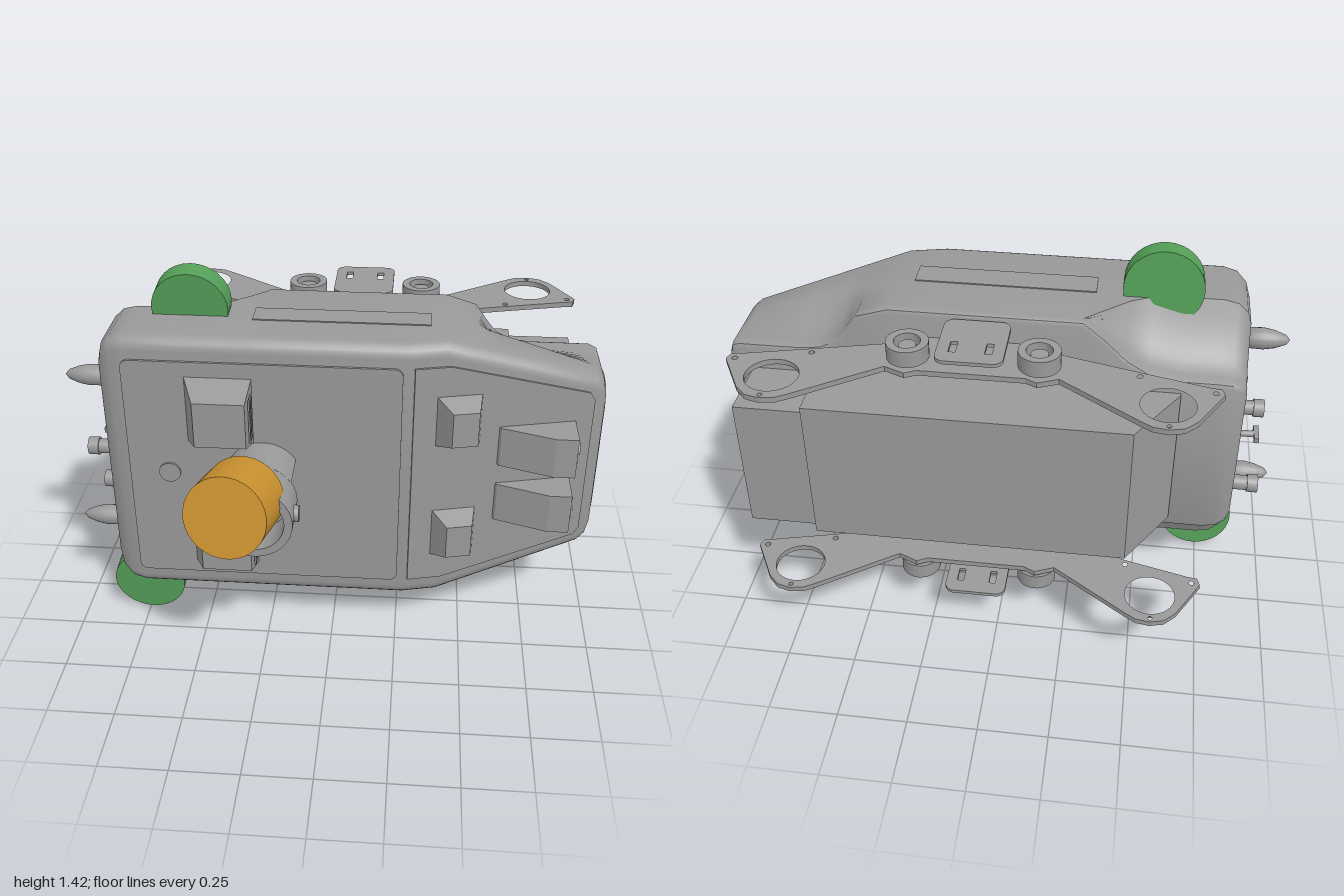
import * as THREE from 'three';
import { toCreasedNormals } from 'three/addons/utils/BufferGeometryUtils.js';

const CY = 0.713; // height of the mirror plane between top and bottom halves
const mat = (color) => new THREE.MeshStandardMaterial({ color });
const grey = mat(0x999999), green = mat(0x55a058), orange = mat(0xcc9330);
const lerp = THREE.MathUtils.lerp;

function add(parent, name, geo, x = 0, y = 0, z = 0, material = grey) {
  const m = new THREE.Mesh(geo, material);
  m.name = name;
  m.position.set(x, y, z);
  parent.add(m);
  return m;
}
const box = (w, h, d) => new THREE.BoxGeometry(w, h, d);
const cyl = (r, h, axis = 'y') => {
  const g = new THREE.CylinderGeometry(r, r, h, 32);
  if (axis === 'x') g.rotateZ(Math.PI / 2);
  if (axis === 'z') g.rotateX(Math.PI / 2);
  return g;
};
const poly = (pts) => new THREE.Shape(pts.map(([x, y]) => new THREE.Vector2(x, y)));
const extrude = (shape, depth) =>
  new THREE.ExtrudeGeometry(shape, { depth, bevelEnabled: false, curveSegments: 16 });
// plate drawn in plan as (x, -z), rising from y = 0
const plan = (shape, h) => extrude(shape, h).rotateX(-Math.PI / 2);
const planPoly = (pts, h) => plan(poly(pts.map(([x, z]) => [x, -z])), h);

function roundRect(w, h, r) {
  const s = new THREE.Shape(), a = w / 2, b = h / 2;
  s.absarc(a - r, b - r, r, 0, Math.PI / 2);
  s.absarc(-a + r, b - r, r, Math.PI / 2, Math.PI);
  s.absarc(-a + r, -b + r, r, Math.PI, Math.PI * 1.5);
  s.absarc(a - r, -b + r, r, Math.PI * 1.5, Math.PI * 2);
  return s;
}
// part of a ring between two radii and two angles
function sector(inner, outer, a, b, depth) {
  const s = new THREE.Shape().absarc(0, 0, outer, a, b);
  s.absarc(0, 0, inner, b, a, true);
  return toCreasedNormals(extrude(s, depth), 0.5);
}
// block whose front face is pulled in on each side
function pad(w, h, d, left, right, ends) {
  const g = box(w, h, d).translate(0, 0, d / 2), p = g.attributes.position;
  for (let i = 0; i < p.count; i++) {
    if (p.getZ(i) < d / 2) continue;
    p.setX(i, p.getX(i) + (p.getX(i) < 0 ? left : -right));
    p.setY(i, p.getY(i) - Math.sign(p.getY(i)) * ends);
  }
  g.computeVertexNormals();
  return g;
}

// Hull: cross-sections along x, with scooped rear corners
function hullGeometry() {
  // x, end inset, rear half height, z where the scoop starts
  const rows = [
    [-0.84, 0.09, 0.33, -0.07], [-0.825, 0.045, 0.33, -0.07], [-0.79, 0.012, 0.33, -0.07],
    [-0.74, 0, 0.33, -0.07], [-0.6, 0, 0.33, -0.07], [-0.5, 0, 0.35, -0.08],
    [-0.42, 0, 0.4, -0.12], [-0.35, 0, 0.47, -0.18], [-0.27, 0, 0.538, -0.25],
    [0.27, 0, 0.538, -0.2], [0.4, 0, 0.538, -0.1], [0.51, 0, 0.504, -0.07],
    [0.55, 0, 0.445, -0.06], [0.59, 0, 0.395, -0.06], [0.65, 0, 0.365, -0.06],
    [0.72, 0, 0.356, -0.06], [0.945, 0, 0.355, -0.06], [0.973, 0.015, 0.355, -0.06],
    [0.986, 0.045, 0.355, -0.06],
  ];
  const pos = [], idx = [];
  let n = 0;
  for (const [x, inset, rear, scoop] of rows) {
    const H = lerp(0.538, 0.353, Math.max(0, (x - 0.4) / 0.59)) - inset;
    const hb = Math.min(H, rear - inset * 0.5), r = 0.05;
    const zf = lerp(0.2, 0.03, Math.max(0, (x - 0.27) / 0.72)) - inset * 0.5;
    const zb = -0.28 + inset * 0.4;
    const half = [[0, zf]];
    for (let i = 0; i <= 5; i++) {
      const a = (i / 5) * Math.PI / 2;
      half.push([H - r + r * Math.sin(a), zf - r + r * Math.cos(a)]);
    }
    for (let i = 0; i <= 8; i++) {
      const t = i / 8;
      half.push([hb + (H - hb) * (1 - t) ** 2, lerp(scoop, zb + 0.02, t)]);
    }
    half.push([hb - 0.006, zb + 0.006], [hb - 0.02, zb], [0, zb]);
    const loop = [...half, ...half.slice(1, -1).reverse().map(([y, z]) => [-y, z])];
    n = loop.length;
    loop.forEach(([y, z]) => pos.push(x, CY + y, z));
  }
  const last = (rows.length - 1) * n, c0 = rows.length * n;
  pos.push(-0.84, CY, -0.05, 0.986, CY, -0.12);
  for (let k = 0; k < n; k++) {
    const k1 = (k + 1) % n;
    for (let i = 0; i < last; i += n) idx.push(i + k, i + n + k, i + k1, i + k1, i + n + k, i + n + k1);
    idx.push(c0, k, k1, c0 + 1, last + k1, last + k);
  }
  const g = new THREE.BufferGeometry();
  g.setAttribute('position', new THREE.Float32BufferAttribute(pos, 3));
  g.setIndex(idx);
  return toCreasedNormals(g, 0.7);
}

// One side's pivoting arms and bracket, built for the upper side
function armAssembly() {
  const g = new THREE.Group();
  const outline = [[-0.21, 0.33], [-0.5, 0.405], [-0.7, 0.455], [-0.735, 0.46], [-0.745, 0.49],
    [-0.66, 0.64], [-0.62, 0.68], [-0.57, 0.693], [-0.52, 0.685], [-0.48, 0.66], [-0.21, 0.47],
    [-0.14, 0.5], [-0.08, 0.47], [-0.06, 0.41], [-0.08, 0.35], [-0.14, 0.325]];
  for (const side of [1, -1]) {
    const X = (x) => (side > 0 ? x : 0.16 - x);
    const arm = poly(outline.map(([x, y]) => [X(x), y]));
    const holes = [[-0.565, 0.565, 0.09], [-0.715, 0.485, 0.01], [-0.57, 0.675, 0.008], [-0.47, 0.42, 0.01]];
    for (const [x, y, r] of holes) arm.holes.push(new THREE.Path().absarc(X(x), y, r, 0, Math.PI * 2, true));
    add(g, 'arm', plan(arm, 0.02), 0, 1.13, 0);
    add(g, 'pivotNeck', cyl(0.04, 0.04), X(-0.14), 1.155, -0.42);
    const boss = new THREE.Shape().absarc(0, 0, 0.072, 0, Math.PI * 2);
    boss.holes.push(new THREE.Path().absarc(0, 0, 0.045, 0, Math.PI * 2, true));
    add(g, 'pivotBoss', toCreasedNormals(plan(boss, 0.06), 0.5), X(-0.14), 1.165, -0.42);
    add(g, 'pivotBolt', cyl(0.03, 0.04), X(-0.14), 1.19, -0.42);
  }
  const bracket = roundRect(0.225, 0.25, 0.035);
  for (const x of [-0.06, 0.06]) {
    bracket.holes.push(new THREE.Path([[-1, -1], [-1, 1], [1, 1], [1, -1]]
      .map(([a, b]) => new THREE.Vector2(x + a * 0.012, 0.04 + b * 0.03))));
  }
  add(g, 'bracket', plan(bracket, 0.013), 0.08, 1.225, -0.415);
  add(g, 'bracketBase', box(0.44, 0.02, 0.2), 0.08, 1.14, -0.38);
  return g;
}

export function createModel() {
  const model = new THREE.Group();
  add(model, 'hull', hullGeometry());

  // Front panel, sloping panel and their pads
  add(model, 'frontPanel', extrude(roundRect(1.0, 0.91, 0.03), 0.012), -0.25, CY, 0.197);
  add(model, 'frontButton', cyl(0.04, 0.012, 'z'), -0.6, CY, 0.211);
  const slope = new THREE.Group();
  slope.name = 'slopingFront';
  slope.position.set(0.27, CY, 0.2);
  slope.rotation.y = 0.232;
  model.add(slope);
  add(slope, 'slopingPanel', extrude(poly([[0.02, -0.455], [0.15, -0.455], [0.67, -0.31],
    [0.69, -0.28], [0.69, 0.28], [0.67, 0.31], [0.15, 0.455], [0.02, 0.455]]), 0.01), 0, 0, -0.002);
  for (const s of [1, -1]) {
    add(model, 'largePad', pad(0.245, 0.265, 0.125, 0.05, 0.01, 0.045), -0.405, CY + s * 0.268, 0.2);
    add(slope, 'smallPad', pad(0.17, 0.205, 0.085, 0.045, 0.03, 0.035), 0.185, s * 0.24, 0);
    for (let i = -1; i <= 1; i++)
      add(model, 'padRib', box(0.006, 0.17, 0.012), -0.283, CY + s * 0.268, 0.26 + i * 0.025);

    // Wedge housings at the nose with vent blades on the end
    const y = CY + s * 0.12;
    add(model, 'noseHousing', planPoly([[0.58, 0.1], [0.61, 0.14], [0.8, 0.205], [0.88, 0.205],
      [0.88, 0.05], [0.7, 0.05]], 0.158), 0, y - 0.079, 0);
    for (let i = 0; i < 3; i++)
      add(model, 'ventBlade', sector(0.015, 0.055, i * 2.094, i * 2.094 + 0.9, 0.014).rotateY(Math.PI / 2),
        0.876, y, 0.13);
    add(model, 'sidePanel', box(0.64, 0.008, 0.1), 0.02, CY + s * 0.538, -0.03);
  }

  // End panels
  add(model, 'nosePanel', extrude(roundRect(0.22, 0.59, 0.1), 0.012).rotateY(Math.PI / 2), 0.982, CY, -0.135);
  add(model, 'tailPanel', box(0.01, 0.56, 0.26), -0.84, CY, -0.03);

  // Pointed nozzles and connectors on the tail
  const profile = [[0, 0], [0.038, 0], [0.04, 0.07], [0.033, 0.11], [0.018, 0.15], [0, 0.165]];
  for (const y of [1.025, 0.4]) {
    const g = new THREE.LatheGeometry(profile.map(([r, h]) => new THREE.Vector2(r, h)), 20);
    add(model, 'nozzle', g.rotateZ(Math.PI / 2), -0.835, y, 0.055);
  }
  for (const [y, z] of [[0.715, 0.05], [0.47, -0.1]]) {
    add(model, 'connector', cyl(0.028, 0.1, 'x'), -0.88, y, z);
    add(model, 'connectorCollar', cyl(0.034, 0.04, 'x'), -0.925, y, z);
  }
  add(model, 'tailHandleStem', cyl(0.012, 0.07, 'x'), -0.87, CY, -0.11);
  add(model, 'tailHandle', box(0.018, 0.02, 0.08), -0.91, CY, -0.11);

  // Rear equipment case
  add(model, 'rearCase', planPoly([[-0.615, -0.26], [-0.615, -0.29], [-0.465, -0.53], [0.66, -0.53],
    [0.66, -0.26]], 0.56), 0, CY - 0.28, 0);
  add(model, 'rearCaseEnd', box(0.3, 0.51, 0.26), 0.752, CY, -0.39);
  for (const z of [-0.335, -0.39]) add(model, 'caseSlot', box(0.016, 0.25, 0.025), 0.902, CY, z);
  add(model, 'caseLatch', box(0.016, 0.09, 0.025), 0.902, CY, -0.425);

  // Arms above and below
  for (const s of [1, -1]) {
    const arms = armAssembly();
    arms.name = s > 0 ? 'upperArms' : 'lowerArms';
    if (s < 0) {
      arms.scale.y = -1;
      arms.position.y = CY * 2;
    }
    model.add(arms);
  }

  // Slotted tube mount and its tilted orange barrel
  const mx = -0.25;
  add(model, 'mountRing', sector(0.11, 0.14, 0, Math.PI * 2, 0.16), mx, CY, 0.36);
  add(model, 'mountFloor', cyl(0.112, 0.02, 'z'), mx, CY, 0.37);
  for (const a of [0.55, 0.55 + Math.PI])
    add(model, 'mountProng', sector(0.11, 0.14, a, a + 2.04, 0.17), mx, CY, 0.195);
  add(model, 'mountKnob', cyl(0.03, 0.05, 'x'), -0.12, CY, 0.445);
  const p0 = new THREE.Vector3(-0.288, 0.775, 0.442), p1 = new THREE.Vector3(-0.32, 0.825, 0.656);
  const mid = p0.clone().add(p1).multiplyScalar(0.5);
  const barrel = add(model, 'barrel', cyl(0.146, p0.distanceTo(p1)), mid.x, mid.y, mid.z, orange);
  barrel.quaternion.setFromUnitVectors(new THREE.Vector3(0, 1, 0), p1.sub(p0).normalize());

  // Green discs
  for (const [x, y, z] of [[-0.53, 1.28, -0.044], [-0.74, 0.147, 0.096]])
    add(model, 'disc', cyl(0.14, 0.086, 'z'), x, y, z, green).rotation.x = 0.1;

  return model;
}
